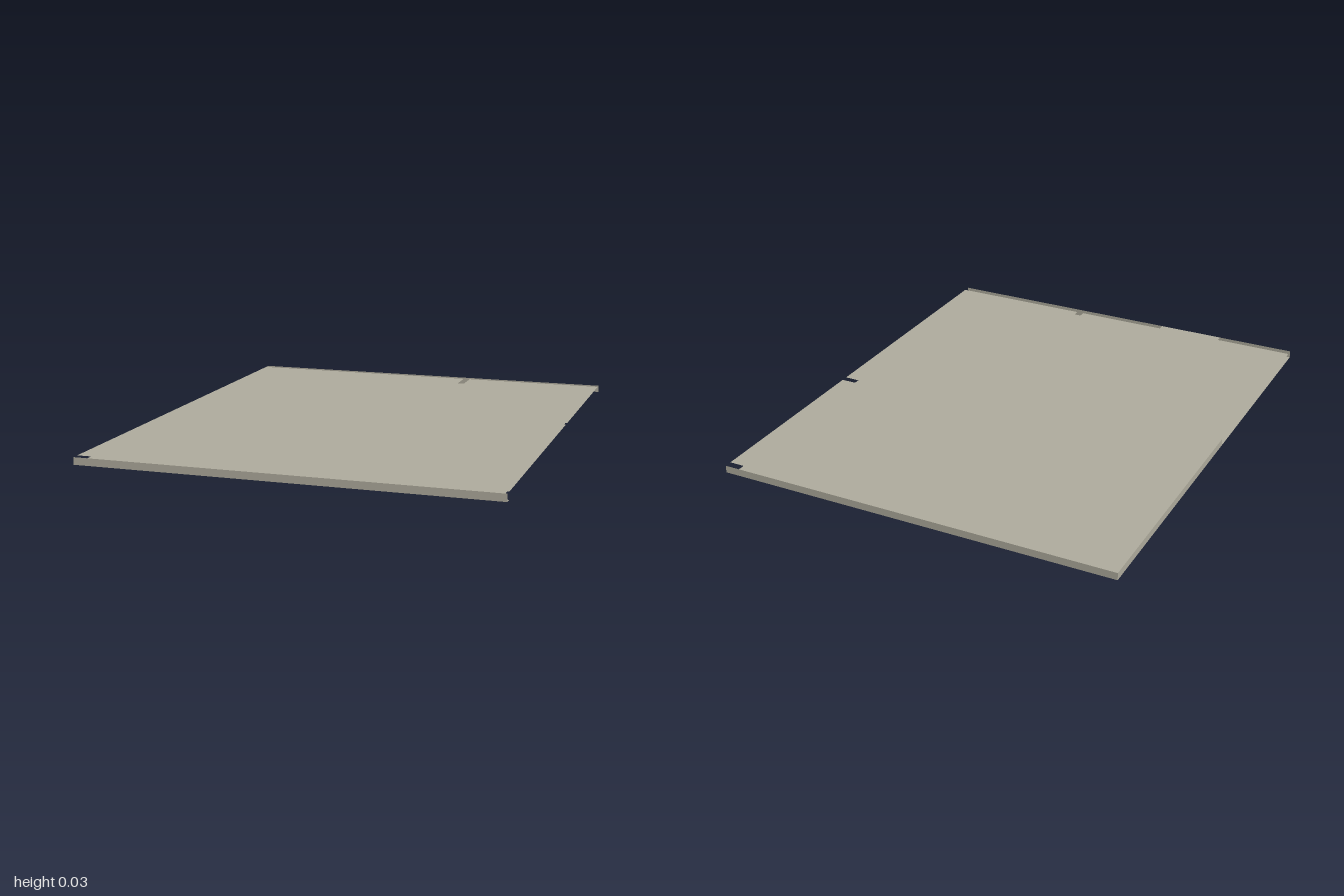
import * as THREE from 'three';

export function createModel() {
  const group = new THREE.Group();
  const stone = new THREE.MeshStandardMaterial({ color: 0xb0ad9e, side: THREE.DoubleSide });
  stone.name = 'stone';
  const H = 0.03; // height of the shell

  const add = (name, geometry) => {
    const mesh = new THREE.Mesh(geometry, stone);
    mesh.name = name;
    group.add(mesh);
    return mesh;
  };

  // Horizontal sheet from [x, z] outline points at height y
  const sheet = (name, points, y) => {
    const shape = new THREE.Shape(points.map(([x, z]) => new THREE.Vector2(x, -z)));
    add(name, new THREE.ShapeGeometry(shape).rotateX(-Math.PI / 2)).position.y = y;
  };

  // Upright sheet facing z, spanning x0 to x1
  const upright = (name, x0, x1, z) => {
    const g = new THREE.PlaneGeometry(x1 - x0, H);
    if (z < 0) g.rotateY(Math.PI);
    add(name, g).position.set((x0 + x1) / 2, H / 2, z);
  };

  // Base, with a small tab at the front corner
  sheet('base', [
    [-0.84, 1], [0.84, 1], [0.84, 0.97], [0.81, 0.97], [0.81, -1], [-0.84, -1],
  ], 0);

  // Main floor: open channels where walls stand, reaching the front edge at the doorway
  sheet('mainFloor', [
    [-0.84, 0.97], [-0.5, 0.97], [-0.5, 1], [-0.21, 1], [-0.21, 0.97], [0.19, 0.97],
    [0.19, -0.44], [0.22, -0.44], [0.22, -0.157], [0.84, -0.157], [0.84, -0.97],
    [0.22, -0.97], [0.22, -0.73], [0.19, -0.73], [0.19, -0.97], [-0.84, -0.97],
  ], H);

  // Closed room floor
  sheet('roomFloor', [[0.22, 0.97], [0.84, 0.97], [0.84, -0.13], [0.22, -0.13]], H);

  // Outer edges
  upright('frontEdge', -0.84, 0.81, 1);
  upright('frontCornerEdge', 0.81, 0.84, 1);
  upright('backEdge', -0.84, 0.84, -1);

  // Side edge covers only the rear part
  add('sideEdge', new THREE.PlaneGeometry(1.075, H).rotateY(-Math.PI / 2))
    .position.set(-0.84, H / 2, -0.4625);

  return group;
}
